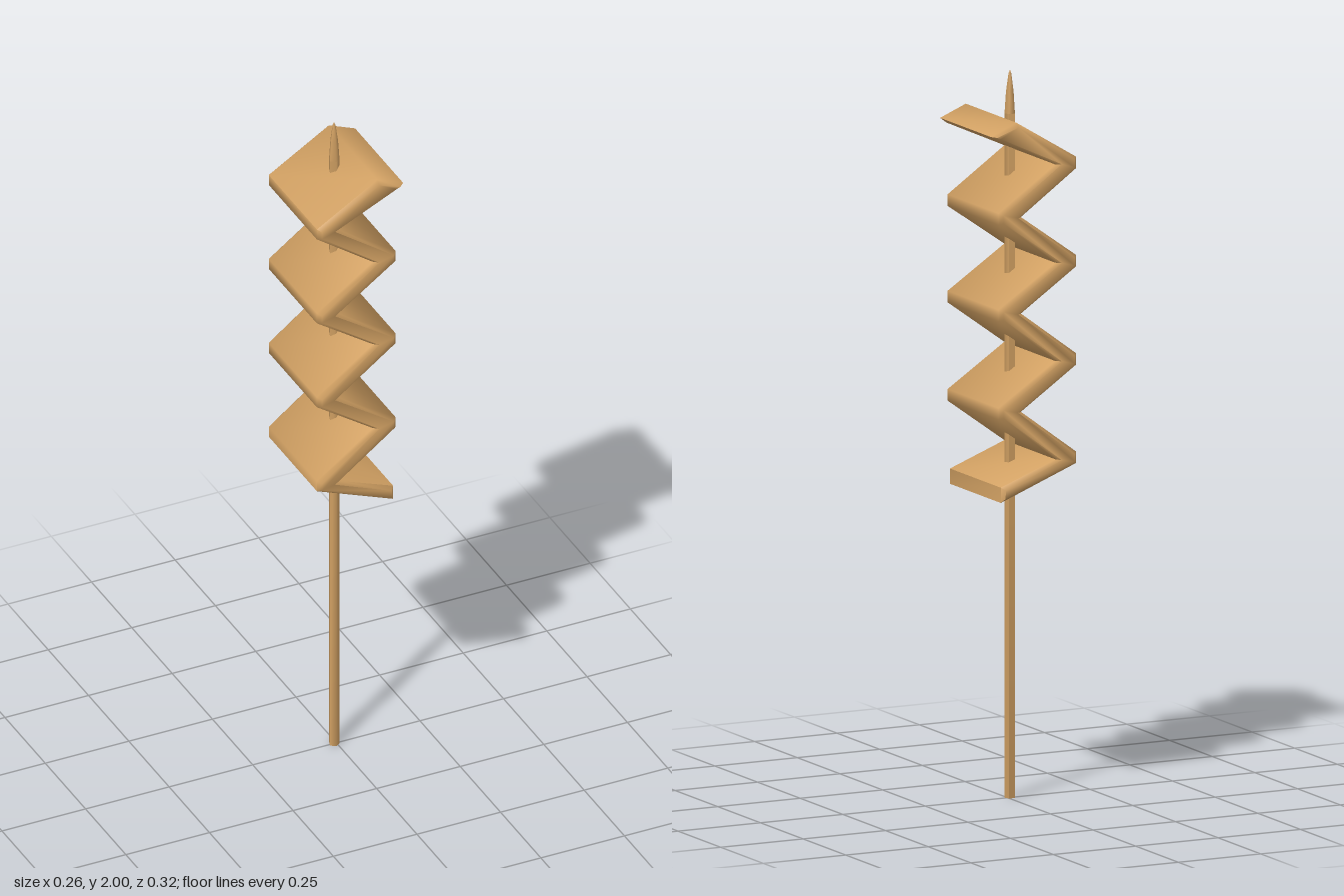
import * as THREE from 'three';
import { toCreasedNormals } from 'three/addons/utils/BufferGeometryUtils.js';

export function createModel() {
  const group = new THREE.Group();
  const tan = new THREE.MeshStandardMaterial({ color: 0xd2a163 });
  tan.name = 'toasted tan';

  const add = (name, geometry, x, y, z) => {
    const mesh = new THREE.Mesh(geometry, tan);
    mesh.name = name;
    mesh.position.set(x, y, z);
    group.add(mesh);
  };

  // Folded sheet: zigzag outline with blunt fold tips
  const leftFolds = [1.76, 1.49, 1.22, 0.95];
  const rightFolds = [1.625, 1.36, 1.09];
  const outline = [[0.05, 1.885]];
  leftFolds.forEach((y, i) => {
    outline.push([-0.13, y + 0.016], [-0.13, y - 0.016]);
    if (i < rightFolds.length) outline.push([0.037, rightFolds[i]]);
  });
  outline.push([0.098, 0.845], [0.098, 0.887]);
  for (let i = leftFolds.length - 1; i >= 0; i--) {
    outline.push([-0.067, leftFolds[i]]);
    if (i > 0) outline.push([0.105, rightFolds[i - 1] - 0.016], [0.105, rightFolds[i - 1] + 0.016]);
  }
  outline.push([0.108, 1.838], [0.128, 1.853]);
  const shape = new THREE.Shape(outline.map(([x, y]) => new THREE.Vector2(x, y)));
  const sheet = new THREE.ExtrudeGeometry(shape, {
    depth: 0.298, bevelEnabled: true, bevelThickness: 0.012,
    bevelSize: 0.01, bevelOffset: -0.01, bevelSegments: 1,
  });
  add('foldedSheet', toCreasedNormals(sheet, 1.15), 0, 0, -0.149);

  // Five-sided skewer with a sharpened end
  const shaft = new THREE.CylinderGeometry(0.015, 0.015, 1.88, 5);
  add('skewerShaft', toCreasedNormals(shaft, 1.3), -0.007, 0.94, 0);
  const tip = new THREE.LatheGeometry([
    new THREE.Vector2(0.015, 1.88), new THREE.Vector2(0.011, 1.94),
    new THREE.Vector2(0.004, 1.99), new THREE.Vector2(0, 2),
  ], 5);
  add('skewerTip', tip, -0.007, 0, 0);

  return group;
}
